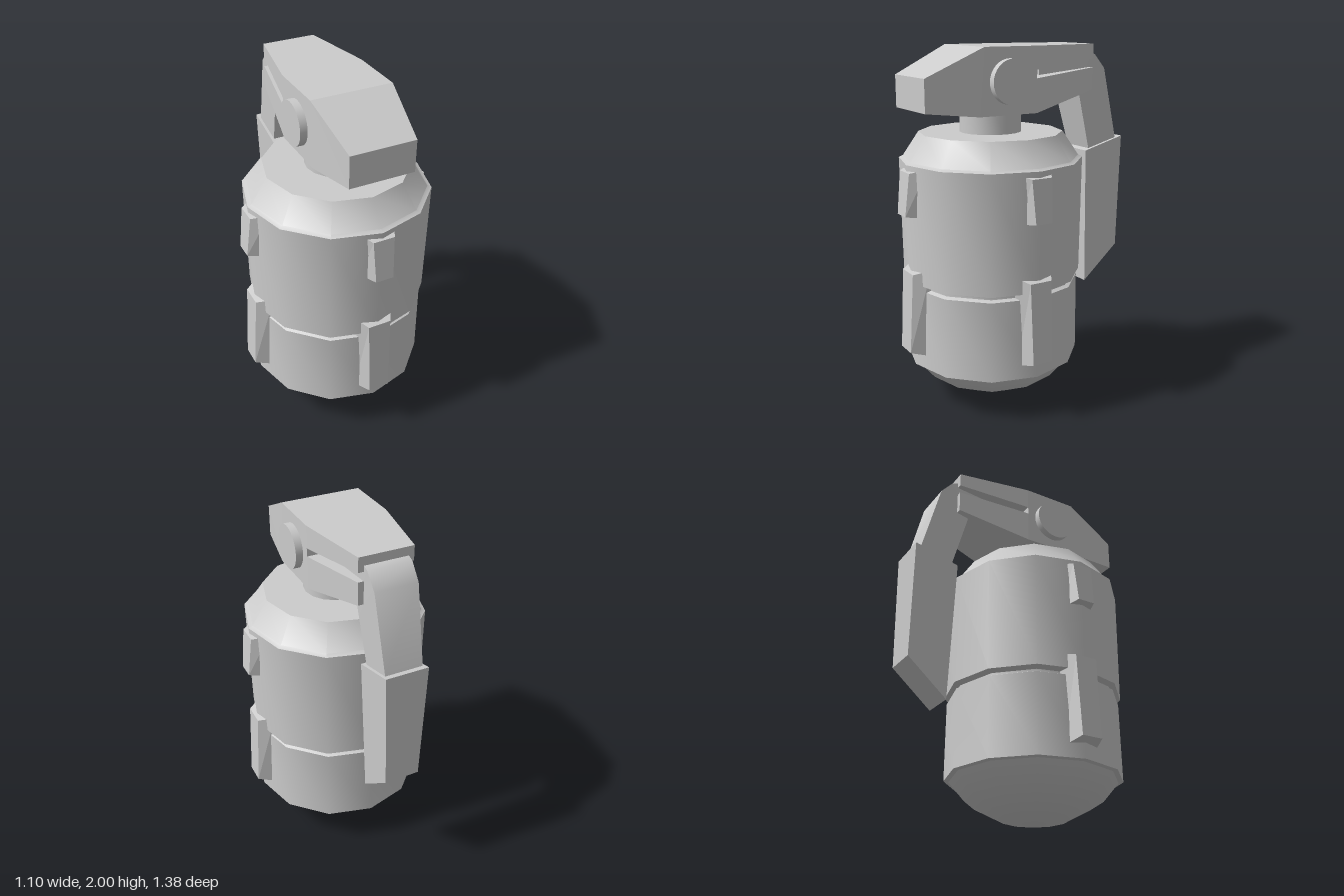
import * as THREE from 'three';
import { toCreasedNormals } from 'three/addons/utils/BufferGeometryUtils.js';

const CREASE = 0.6;
const BODY_Z = 0.14;
const material = new THREE.MeshStandardMaterial({ color: 0xcccccc });

function mesh(name, geometry) {
  const m = new THREE.Mesh(geometry, material);
  m.name = name;
  return m;
}

// Solid through four-cornered sections: [outerZ, outerY, innerZ, innerY, outerHalfWidth, innerHalfWidth]
function loft(sections) {
  const rings = sections.map(([z1, y1, z2, y2, w1, w2 = w1]) => [
    [-w1, y1, z1], [w1, y1, z1], [w2, y2, z2], [-w2, y2, z2],
  ]);
  const pos = [];
  const quad = (a, b, c, d) => pos.push(...a, ...b, ...c, ...a, ...c, ...d);
  for (let i = 0; i < rings.length - 1; i++) {
    const a = rings[i], b = rings[i + 1];
    for (let k = 0; k < 4; k++) {
      const n = (k + 1) % 4;
      quad(a[k], a[n], b[n], b[k]);
    }
  }
  const s = rings[0], e = rings[rings.length - 1];
  quad(s[3], s[2], s[1], s[0]);
  quad(e[0], e[1], e[2], e[3]);
  const g = new THREE.BufferGeometry();
  g.setAttribute('position', new THREE.Float32BufferAttribute(pos, 3));
  g.computeVertexNormals();
  return g;
}

function creasedLathe(points, sides) {
  const profile = points.map(([r, y]) => new THREE.Vector2(r, y));
  return toCreasedNormals(new THREE.LatheGeometry(profile, sides), CREASE);
}

export function createModel() {
  const model = new THREE.Group();
  model.name = 'grenade';

  // Twelve-sided body with domed base, groove and sloped shoulder
  const body = mesh('body', creasedLathe([
    [0, 0.005], [0.19, 0.04], [0.38, 0.14], [0.468, 0.245], [0.495, 0.25],
    [0.492, 0.7], [0.47, 0.71], [0.47, 0.722], [0.505, 0.735],
    [0.513, 1.39], [0.49, 1.4], [0.4, 1.535], [0, 1.535],
  ], 12));
  body.position.z = BODY_Z;
  model.add(body);

  const neck = mesh('neck', creasedLathe([[0.172, 1.5], [0.172, 1.66]], 16));
  neck.position.z = BODY_Z;
  model.add(neck);

  // Raised lugs on the front and both sides
  const upperLug = loft([
    [0.55, 1.122, 0.44, 1.108, 0.05, 0.085],
    [0.525, 1.355, 0.44, 1.375, 0.06, 0.105],
  ]);
  const lowerLug = loft([
    [0.55, 0.35, 0.44, 0.32, 0.06, 0.095],
    [0.525, 0.8, 0.44, 0.825, 0.065, 0.115],
  ]);
  [['front', 0], ['left', Math.PI / 2], ['right', -Math.PI / 2]].forEach(([side, angle]) => {
    const lugs = new THREE.Group();
    lugs.name = side + 'Lugs';
    lugs.add(mesh('upperLug', upperLug), mesh('lowerLug', lowerLug));
    lugs.position.z = BODY_Z;
    lugs.rotation.y = angle;
    model.add(lugs);
  });

  // Fuse head, forked at the back into two arms with a slot between
  const head = new THREE.Group();
  head.name = 'fuseHead';
  head.add(
    mesh('headBlock', loft([
      [0.62, 1.85, 0.62, 1.675, 0.18],
      [0.3, 2, 0.33, 1.645, 0.225],
      [-0.02, 2, -0.02, 1.645, 0.225],
    ])),
    mesh('upperArm', loft([
      [-0.02, 2, -0.02, 1.875, 0.225],
      [-0.445, 2, -0.445, 1.92, 0.15],
    ])),
    mesh('lowerArm', loft([
      [-0.02, 1.83, -0.02, 1.645, 0.225],
      [-0.445, 1.87, -0.445, 1.745, 0.15],
    ])),
  );
  model.add(head);

  // Round pivot pin through the head
  const pin = mesh('pivotPin', new THREE.CylinderGeometry(0.12, 0.12, 0.53, 32));
  pin.rotation.z = Math.PI / 2;
  pin.position.set(0, 1.82, 0.15);
  model.add(pin);

  // Safety lever bending down behind the body, with a thicker grip
  const lever = new THREE.Group();
  lever.name = 'lever';
  lever.add(
    mesh('leverArm', toCreasedNormals(loft([
      [-0.1, 1.9, -0.1, 1.8, 0.12],
      [-0.43, 1.957, -0.36, 1.78, 0.12],
      [-0.48, 1.94, -0.365, 1.755, 0.12],
      [-0.55, 1.86, -0.385, 1.68, 0.118],
      [-0.655, 1.45, -0.46, 1.4, 0.105],
    ]), CREASE)),
    mesh('leverGrip', loft([
      [-0.69, 1.458, -0.43, 1.39, 0.12],
      [-0.69, 0.78, -0.46, 0.58, 0.098],
    ])),
  );
  model.add(lever);

  return model;
}
